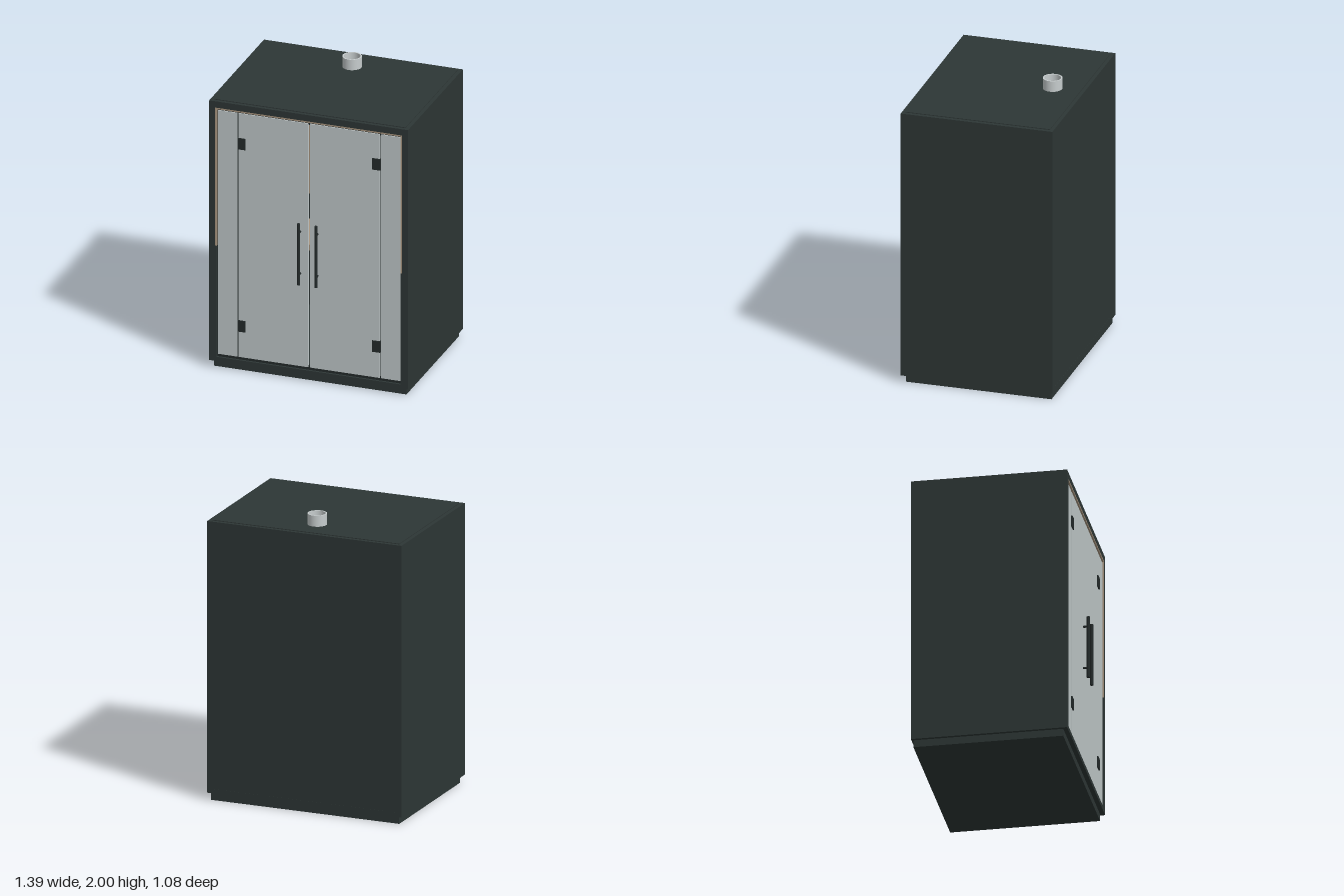
import * as THREE from 'three';

const mat = (name, color, extra = {}) => {
  const m = new THREE.MeshStandardMaterial({ color, ...extra });
  m.name = name;
  return m;
};

export function createModel() {
  const root = new THREE.Group();
  root.name = 'glassFrontCabin';
  const dark = mat('dark panel', 0x2d3635);
  const trim = mat('black trim', 0x232a2a);
  const glass = mat('pale glass', 0xc0c8c9);
  const wood = mat('wood lining', 0xa8957f);
  const steel = mat('steel', 0xc6cccd, { side: THREE.DoubleSide });

  const add = (name, geo, material, x = 0, y = 0, z = 0) => {
    const m = new THREE.Mesh(geo, material);
    m.name = name;
    m.position.set(x, y, z);
    root.add(m);
    return m;
  };
  // Box given by its extents on each axis
  const box = (name, material, x0, x1, y0, y1, z0, z1) =>
    add(name, new THREE.BoxGeometry(x1 - x0, y1 - y0, z1 - z0), material,
      (x0 + x1) / 2, (y0 + y1) / 2, (z0 + z1) / 2);
  // Rectangular frame: outer and inner [halfWidth, bottom, top], extruded along z
  const rect = (P, [w, b, t]) => {
    const p = new P();
    p.moveTo(-w, b); p.lineTo(w, b); p.lineTo(w, t); p.lineTo(-w, t); p.closePath();
    return p;
  };
  const frame = (name, material, outer, inner, z0, z1) => {
    const s = rect(THREE.Shape, outer);
    s.holes.push(rect(THREE.Path, inner));
    add(name, new THREE.ExtrudeGeometry(s, { depth: z1 - z0, bevelEnabled: false }), material, 0, 0, z0);
  };

  // Plinth, hollow outer shell, back and raised roof panel
  box('plinth', dark, -0.675, 0.675, 0, 0.05, -0.527, 0.475);
  frame('outerShell', dark, [0.697, 0.05, 1.92], [0.655, 0.08, 1.875], -0.54, 0.505);
  box('backPanel', dark, -0.655, 0.655, 0.08, 1.875, -0.539, -0.51);
  box('roofPanel', dark, -0.67, 0.67, 1.92, 1.925, -0.515, 0.48);

  // Interior lining: wood above, dark below
  box('ceilingLining', wood, -0.655, 0.655, 1.865, 1.875, -0.51, 0.505);
  box('upperBackLining', wood, -0.645, 0.645, 0.88, 1.865, -0.51, -0.5);
  box('lowerBackLining', dark, -0.645, 0.645, 0.08, 0.88, -0.51, -0.5);
  box('bench', wood, -0.645, 0.645, 0.66, 0.7, -0.5, -0.1);
  for (const s of [-1, 1]) {
    const x0 = s < 0 ? -0.655 : 0.645;
    box('upperSideLining', wood, x0, x0 + 0.01, 0.88, 1.865, -0.51, 0.505);
    box('lowerSideLining', dark, x0, x0 + 0.01, 0.08, 0.88, -0.51, 0.505);
  }

  // Glazing frame behind the panes
  frame('glazingFrame', trim, [0.645, 0.08, 1.865], [0.63, 0.11, 1.845], 0.465, 0.49);

  for (const s of [-1, 1]) {
    const span = (name, m, a, b, ...rest) => box(name, m, Math.min(s * a, s * b), Math.max(s * a, s * b), ...rest);
    // Fixed side pane, post and door
    span('sidePane', glass, 0.505, 0.638, 0.1, 1.855, 0.485, 0.497);
    span('doorPost', trim, 0.49, 0.512, 0.1, 1.855, 0.465, 0.485);
    span('glassDoor', glass, 0.006, 0.495, 0.1, 1.855, 0.485, 0.497);
    // Hinges
    for (const y of [0.325, 1.638])
      span('hinge', trim, 0.444, 0.5, y - 0.04, y + 0.04, 0.48, 0.505);
    // Handle with two standoffs
    add('handleBar', new THREE.CylinderGeometry(0.011, 0.011, 0.44, 20), trim, s * 0.061, 0.92, 0.531);
    for (const y of [0.77, 1.07])
      add('handleStandoff', new THREE.CylinderGeometry(0.007, 0.007, 0.04, 14), trim, s * 0.061, y, 0.512).rotation.x = Math.PI / 2;
  }

  // Flue collar: open steel tube with a dark floor
  const ring = [[0.065, 0], [0.065, 0.075], [0.055, 0.075], [0.055, 0]];
  for (let i = 0; i < 3; i++)
    add('flueCollar', new THREE.LatheGeometry([ring[i], ring[i + 1]].map(p => new THREE.Vector2(...p)), 40), steel, 0, 1.925, -0.325);
  add('flueFloor', new THREE.CylinderGeometry(0.055, 0.055, 0.01, 40), trim, 0, 1.93, -0.325);

  return root;
}
